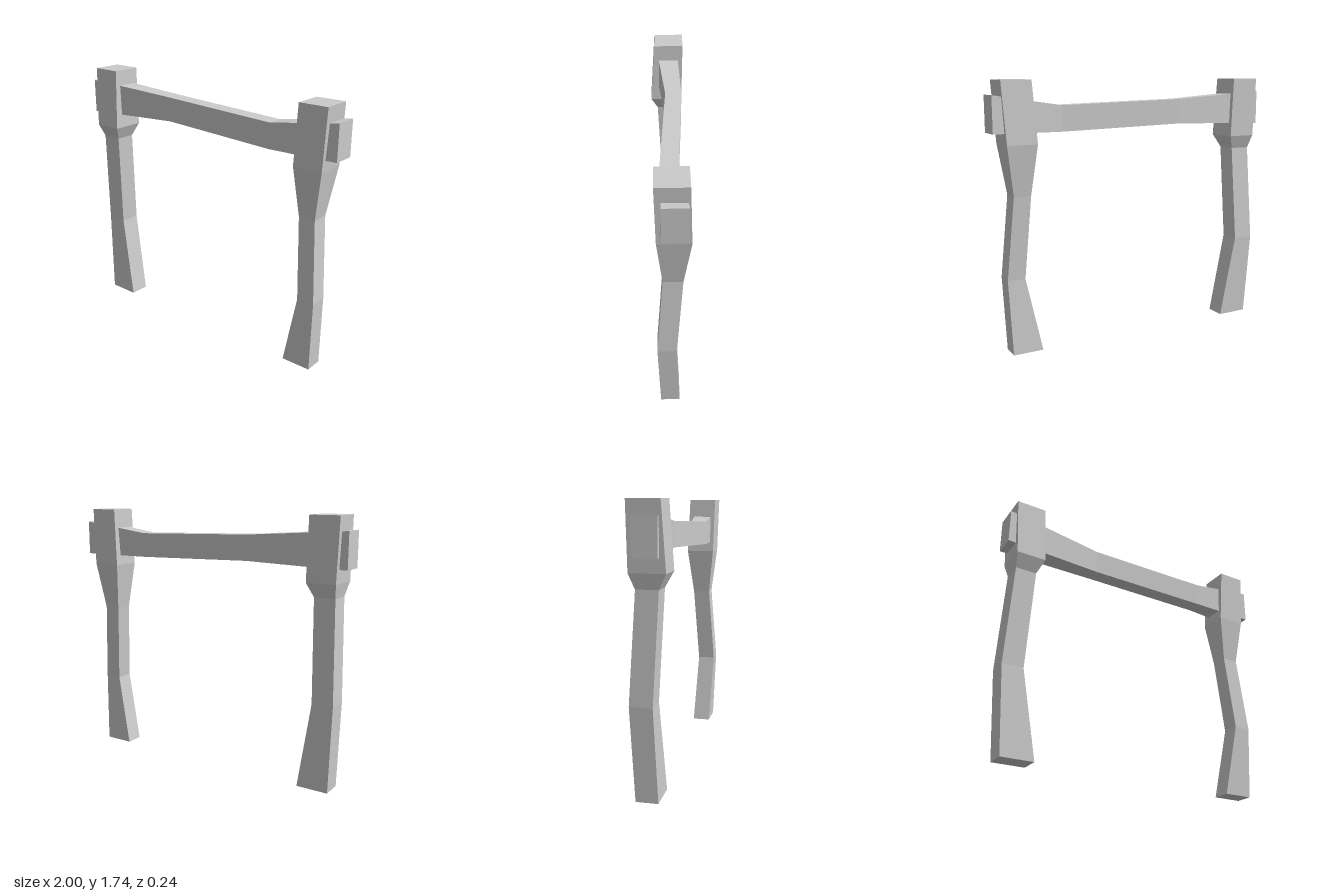
import * as THREE from 'three';

// Joins rings of four corners (counter-clockwise seen from the end) into a closed timber.
function loft(name, rings) {
  const index = [];
  const quad = (a, b, c, d) => index.push(a, b, c, a, c, d);
  const last = (rings.length - 1) * 4;
  for (let r = 0; r < last; r += 4) {
    for (let i = 0; i < 4; i++) {
      const j = (i + 1) % 4;
      quad(r + i, r + j, r + 4 + j, r + 4 + i);
    }
  }
  quad(0, 3, 2, 1);
  quad(last, last + 1, last + 2, last + 3);

  const indexed = new THREE.BufferGeometry();
  indexed.setAttribute('position', new THREE.Float32BufferAttribute(rings.flat(2), 3));
  indexed.setIndex(index);
  const geometry = indexed.toNonIndexed();
  geometry.computeVertexNormals();
  const mesh = new THREE.Mesh(
    geometry,
    new THREE.MeshStandardMaterial({ color: 0xcccccc, flatShading: true })
  );
  mesh.name = name;
  return mesh;
}

// Upright section: height, x range, z range
const postRing = ([y, x0, x1, z0, z1]) =>
  [[x0, y, z1], [x1, y, z1], [x1, y, z0], [x0, y, z0]];

// Beam section: x position, height range, z range
const beamRing = ([x, y0, y1, z0, z1]) =>
  [[x, y0, z1], [x, y0, z0], [x, y1, z0], [x, y1, z1]];

export function createModel() {
  const group = new THREE.Group();
  group.name = 'timberFrame';

  // Post with an abrupt shoulder below its head
  group.add(loft('rightPost', [
    [0, -0.93, -0.715, -0.075, 0.062],
    [0.58, -0.957, -0.815, -0.1, 0.04],
    [1.245, -0.93, -0.79, -0.063, 0.073],
    [1.335, -0.945, -0.75, -0.1, 0.118],
    [1.74, -0.96, -0.762, -0.105, 0.093],
  ].map(postRing)));

  // Post with a long waist below its head
  group.add(loft('leftPost', [
    [0, 0.702, 0.903, -0.062, 0.06],
    [0.49, 0.803, 0.92, -0.04, 0.08],
    [1.03, 0.762, 0.875, -0.075, 0.045],
    [1.35, 0.725, 0.922, -0.118, 0.08],
    [1.74, 0.75, 0.945, -0.103, 0.09],
  ].map(postRing)));

  // Crooked crossbeam passing through both heads
  group.add(loft('crossbeam', [
    [-1, 1.42, 1.65, -0.065, 0.085],
    [-0.32, 1.44, 1.605, -0.087, 0.02],
    [0.53, 1.415, 1.58, -0.05, 0.06],
    [1, 1.42, 1.65, -0.098, 0.052],
  ].map(beamRing)));

  return group;
}
